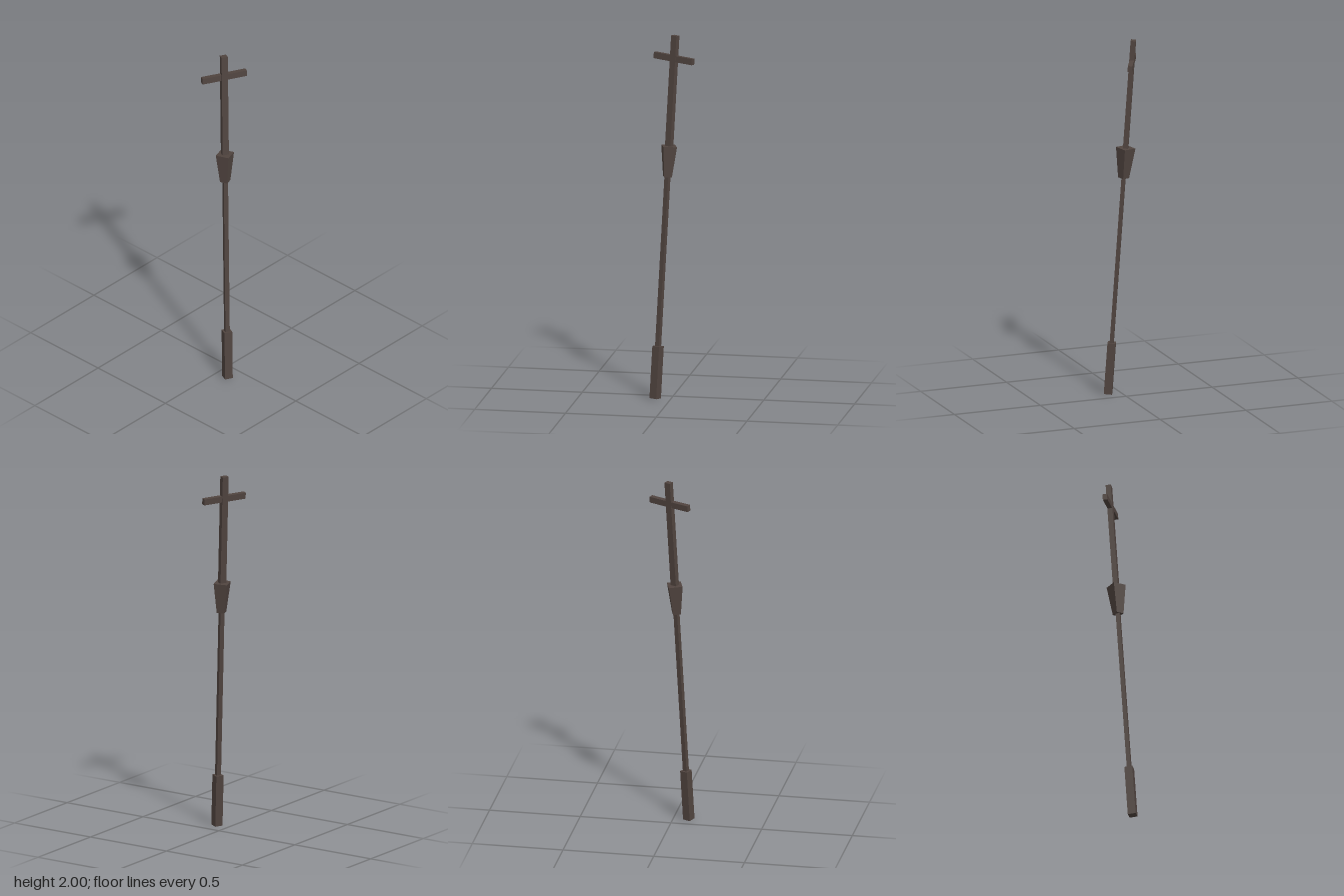
import * as THREE from 'three';

export function createModel() {
  const model = new THREE.Group();
  model.name = 'staff';
  const wood = new THREE.MeshStandardMaterial({ color: 0x50443f, flatShading: true });
  wood.name = 'dark brown';

  function add(name, geometry, y) {
    const mesh = new THREE.Mesh(geometry, wood);
    mesh.name = name;
    mesh.position.y = y;
    model.add(mesh);
  }
  // A box spanning from y0 to y1 along the staff
  const bar = (name, w, d, y0, y1) =>
    add(name, new THREE.BoxGeometry(w, y1 - y0, d), (y0 + y1) / 2);

  bar('grip', 0.045, 0.044, 0.002, 0.29);
  bar('lowerShaft', 0.025, 0.022, 0.29, 1.23);
  bar('upperShaft', 0.036, 0.028, 1.39, 2.004);
  bar('crossbar', 0.256, 0.025, 1.861, 1.895);

  // Flared four-sided collar, its corners in line with the crossbar
  add('collar', new THREE.CylinderGeometry(0.053, 0.03, 0.17, 4), 1.31);

  // Lean the staff, with the crossbar turned about its axis
  const axis = new THREE.Vector3(0.09, 2, -0.112).normalize();
  const side = new THREE.Vector3(0.899, 0, 0.438);
  side.addScaledVector(axis, -side.dot(axis)).normalize();
  const front = new THREE.Vector3().crossVectors(side, axis);
  model.quaternion.setFromRotationMatrix(new THREE.Matrix4().makeBasis(side, axis, front));
  model.position.set(-0.085, 0, 0.072);

  const root = new THREE.Group();
  root.add(model);
  return root;
}
